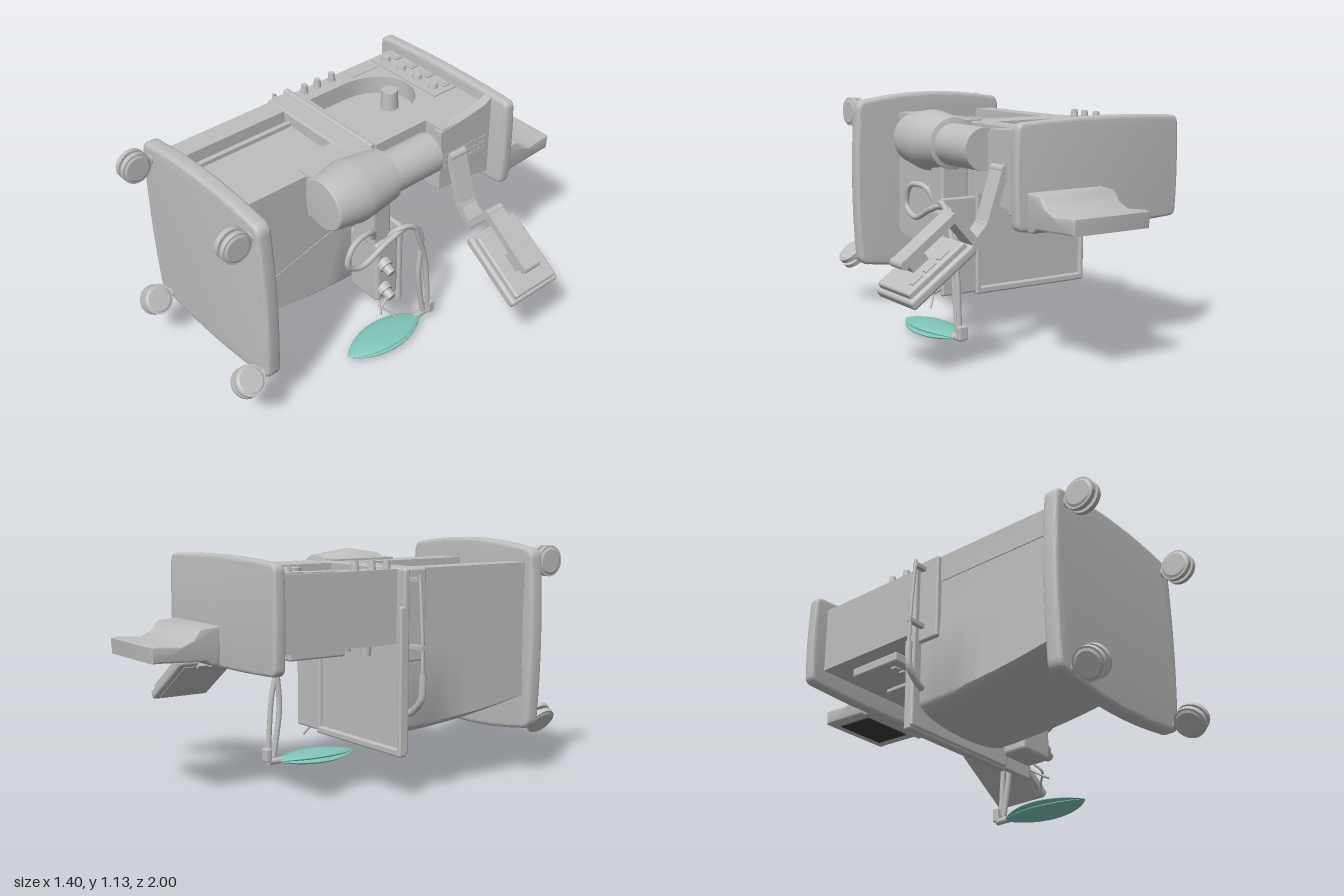
import * as THREE from 'three';
import { toCreasedNormals } from 'three/addons/utils/BufferGeometryUtils.js';
import { RoundedBoxGeometry } from 'three/addons/geometries/RoundedBoxGeometry.js';

export function createModel() {
  const model = new THREE.Group();
  const mat = (name, color) => Object.assign(new THREE.MeshStandardMaterial({ color }), { name });
  const grey = mat('casing grey', 0xbebebe);
  const teal = mat('bag teal', 0x7fc4b8);
  const dark = mat('screen dark', 0x3a3a3a);

  const add = (name, geo, m = grey, parent = model) => {
    const mesh = new THREE.Mesh(geo, m);
    mesh.name = name;
    parent.add(mesh);
    return mesh;
  };
  // box from its limits, with optional rounding
  const box = (name, x0, x1, y0, y1, z0, z1, r = 0, m = grey, parent = model) => {
    const s = [x1 - x0, y1 - y0, z1 - z0];
    const geo = r ? new RoundedBoxGeometry(...s, 3, r) : new THREE.BoxGeometry(...s);
    geo.translate((x0 + x1) / 2, (y0 + y1) / 2, (z0 + z1) / 2);
    return add(name, geo, m, parent);
  };
  // cylinder along a chosen axis
  const cyl = (name, axis, r0, r1, len, x, y, z, parent = model, m = grey) => {
    const geo = new THREE.CylinderGeometry(r1, r0, len, 28);
    if (axis === 'x') geo.rotateZ(-Math.PI / 2);
    if (axis === 'z') geo.rotateX(Math.PI / 2);
    geo.translate(x, y, z);
    return add(name, geo, m, parent);
  };
  const polygon = (pts) => new THREE.Shape(pts.map((p) => new THREE.Vector2(...p)));
  const extrude = (shape, depth, bevel = 0, steps = 1) => new THREE.ExtrudeGeometry(shape, {
    depth: depth - 2 * bevel, steps, curveSegments: 16, bevelEnabled: bevel > 0,
    bevelThickness: bevel, bevelSize: bevel, bevelOffset: -bevel, bevelSegments: 3,
  }).translate(0, 0, bevel);
  // side profile of [z, y] points, extruded from x0 to x1
  const sideProfile = (name, pts, x0, x1, bevel = 0, m = grey) =>
    add(name, toCreasedNormals(extrude(polygon(pts), x1 - x0, bevel).rotateY(-Math.PI / 2).translate(x1, 0, 0), 0.6), m);
  const tube = (name, pts, r, m = grey) => add(name, new THREE.TubeGeometry(
    new THREE.CatmullRomCurve3(pts.map((p) => new THREE.Vector3(...p))), 64, r, 12), m);

  // plate in the x-y plane with rounded corners and gently bowed sides
  const bowedPlate = (name, x0, x1, y0, y1, z0, z1, bow, r, bevel) => {
    const s = new THREE.Shape();
    const cx = (x0 + x1) / 2, cy = (y0 + y1) / 2;
    s.moveTo(x0 + r, y0);
    s.quadraticCurveTo(cx, y0 - 2 * bow, x1 - r, y0);
    s.quadraticCurveTo(x1, y0, x1, y0 + r);
    s.quadraticCurveTo(x1 + bow, cy, x1, y1 - r);
    s.quadraticCurveTo(x1, y1, x1 - r, y1);
    s.quadraticCurveTo(cx, y1 + 2 * bow, x0 + r, y1);
    s.quadraticCurveTo(x0, y1, x0, y1 - r);
    s.quadraticCurveTo(x0 - bow, cy, x0, y0 + r);
    s.quadraticCurveTo(x0, y0, x0 + r, y0);
    return add(name, toCreasedNormals(extrude(s, z1 - z0, bevel).translate(0, 0, z0), 0.7), grey);
  };

  // base and twin-wheel casters
  bowedPlate('base', -0.63, 0.235, 0.23, 1.1, 0.765, 0.84, 0.03, 0.06, 0.018);
  for (const [x, y, turn] of [[-0.565, 1.03, 0], [0.18, 1.03, 0], [-0.54, 0.26, 0.62], [0.2, 0.265, 0.85]]) {
    const caster = new THREE.Group();
    caster.name = 'caster';
    caster.position.set(x, y, 0.925);
    caster.rotation.z = turn;
    model.add(caster);
    for (const side of [-1, 1]) {
      cyl('casterWheel', 'x', 0.074, 0.074, 0.022, side * 0.019, 0, 0, caster);
      cyl('casterHub', 'x', side > 0 ? 0.066 : 0.055, side > 0 ? 0.055 : 0.066, 0.006, side * 0.033, 0, 0, caster);
    }
    cyl('casterAxle', 'x', 0.05, 0.05, 0.02, 0, 0, 0, caster);
    cyl('casterStem', 'z', 0.022, 0.022, 0.1, 0, 0, -0.05, caster);
  }

  // lower cabinet: core, two rear columns and the bowed drawer front
  const seam = (z) => 0.73 - 0.27 * z;
  const front = (z) => 0.235 + 0.03 * z + 0.19 * z * z;
  sideProfile('lowerCabinet', [[0.03, seam(0.03)], [0.77, seam(0.77)], [0.77, 0.97], [0.03, 0.97]], -0.585, 0);
  box('rearColumnRight', -0.59, -0.48, 0.9, 1.03, 0.03, 0.77);
  box('rearColumnLeft', -0.13, 0, 0.9, 1.03, 0.03, 0.77);
  box('rearRib', -0.45, -0.43, 0.95, 0.99, 0.03, 0.77);
  const bowed = new THREE.Shape();
  bowed.moveTo(-0.59, 0);
  bowed.lineTo(-0.59, -0.8);
  bowed.bezierCurveTo(-0.57, -1.01, -0.02, -1.01, 0.003, -0.8);
  bowed.lineTo(0.003, 0);
  const drawers = extrude(bowed, 0.74, 0, 8).translate(0, 0, 0.03);
  const dp = drawers.attributes.position;
  for (let i = 0; i < dp.count; i++) {
    const z = dp.getZ(i);
    dp.setY(i, seam(z) + dp.getY(i) * (seam(z) - front(z)));
  }
  add('drawerFront', toCreasedNormals(drawers, 0.6));
  box('cabinetBand', -0.61, 0.005, 0.62, 1.032, 0.035, 0.15, 0.01);

  // work surface with a raised rim
  box('workSurface', -0.635, 0.01, 0.21, 1.035, 0.008, 0.04, 0.012);
  box('rimRight', -0.635, -0.61, 0.21, 0.87, -0.012, 0.03, 0.01);
  box('rimLeft', -0.012, 0.015, 0.21, 0.87, -0.012, 0.03, 0.01);
  box('rimFront', -0.635, 0.015, 0.2, 0.235, -0.012, 0.03, 0.01);

  // upper cabinet with an arched recess in its back
  box('upperCabinet', -0.58, 0.02, 0.7, 0.94, -0.62, 0.01);
  const back = polygon([[-0.58, -0.01], [0.02, -0.01], [0.02, 0.3], [0.13, 0.3], [0.13, 0.62], [-0.58, 0.62]]);
  const arch = new THREE.Path();
  arch.moveTo(-0.48, 0.005);
  arch.lineTo(-0.1, 0.005);
  arch.lineTo(-0.1, 0.25);
  arch.bezierCurveTo(-0.13, 0.53, -0.45, 0.53, -0.48, 0.25);
  back.holes.push(arch);
  add('backPanel', toCreasedNormals(extrude(back, 0.1).rotateX(-Math.PI / 2).translate(0, 0.93, 0), 0.6));
  sideProfile('flaredColumn', [[-0.29, 0.7], [-0.29, 1.02], [-0.45, 1.035], [-0.57, 1.055], [-0.63, 1.085],
    [-0.63, 0.655], [-0.5, 0.68]], 0.09, 0.135);
  box('sideColumn', 0, 0.1, 0.7, 0.94, -0.62, -0.3);
  cyl('recessKnob', 'y', 0.045, 0.04, 0.1, -0.29, 0.985, -0.35);
  box('recessPocket', -0.565, -0.495, 1.03, 1.034, -0.46, -0.3);
  for (const z of [-0.2, -0.11, -0.03]) cyl('outletPort', 'y', 0.02, 0.015, 0.045, -0.55, 1.05, z);

  // gauge panel
  box('gaugePanel', -0.56, -0.1, 1.03, 1.037, -0.61, -0.47);
  for (let i = 0; i < 4; i++) {
    const x = -0.51 + i * 0.114;
    box('gaugeFrame', x - 0.038, x + 0.038, 1.035, 1.044, -0.602, -0.558);
    box('gaugeWindow', x - 0.026, x + 0.026, 1.043, 1.047, -0.592, -0.57);
    cyl('gaugeDial', 'y', 0.026, 0.02, 0.025, x, 1.046, -0.523);
  }

  // control face toward the operator
  box('controlPanel', -0.5, -0.1, 0.655, 0.705, -0.5, -0.21, 0.01);
  box('controlShelf', -0.3, 0.06, 0.635, 0.7, -0.47, -0.34, 0.008);
  for (let i = 0; i < 6; i++) box('controlButton', -0.46 + i * 0.055, -0.425 + i * 0.055, 0.645, 0.66, -0.28, -0.25);
  for (const x of [-0.5, -0.35, -0.2, -0.06]) cyl('flowKnob', 'y', 0.022, 0.026, 0.06, x, 0.68, -0.1);
  // side vents
  for (let i = 0; i < 10; i++) for (let j = 0; j < 3; j++)
    box('vent', 0.133, 0.139, 0.802 + j * 0.032, 0.822 + j * 0.032, -0.585 + i * 0.028, -0.569 + i * 0.028);

  // top shelf and the display standing on it
  bowedPlate('topShelf', -0.65, 0.235, 0.62, 1.085, -0.672, -0.615, 0.012, 0.04, 0.014);
  sideProfile('topDisplay', [[-0.67, 0.62], [-0.71, 0.62], [-0.74, 0.64], [-0.96, 0.65], [-0.995, 0.65], [-1, 0.72],
    [-0.97, 0.725], [-0.86, 0.715], [-0.8, 0.74], [-0.765, 0.785], [-0.67, 0.79]].reverse(), -0.21, 0.19, 0.008);
  const screen = box('displayScreen', -0.15, 0.13, -0.003, 0.003, -0.1, 0.1, 0, dark);
  screen.position.set(0, 0.642, -0.85);
  screen.rotation.x = 0.045;

  // gas absorber: wide canister and narrow cylinder
  const canister = new THREE.LatheGeometry([[0, 0.41], [0.125, 0.405], [0.13, 0.4], [0.155, 0.25], [0.15, 0.2],
    [0.13, 0.05], [0.1, 0.04], [0, 0.04]].reverse().map(([r, z]) => new THREE.Vector2(r, z)), 40);
  canister.rotateX(Math.PI / 2).scale(1, 0.96, 1).translate(0.105, 0.932, 0);
  add('absorberCanister', toCreasedNormals(canister, 0.5));
  cyl('absorberCylinder', 'z', 0.1, 0.1, 0.28, 0.115, 0.93, -0.09);
  box('absorberInnerSide', -0.05, 0.08, 0.82, 1.04, 0.05, 0.4);
  box('absorberBracket', 0.02, 0.17, 0.6, 0.86, 0.05, 0.16, 0.015);

  // breathing block with ports
  box('breathingBlock', -0.01, 0.19, 0.27, 0.62, 0.02, 0.155, 0.02);
  box('breathingPlate', -0.01, 0.2, 0.21, 0.68, 0.0, 0.025, 0.01);
  for (const y of [0.34, 0.49]) {
    const port = new THREE.Group();
    port.name = 'breathingPort';
    port.position.set(0.185, y, 0.11);
    port.rotation.z = -0.4;
    model.add(port);
    cyl('portCollar', 'x', 0.04, 0.036, 0.04, 0.005, 0, 0, port);
    cyl('portNozzle', 'x', 0.026, 0.022, 0.05, 0.04, 0, 0, port);
  }
  tube('hook', [[0.14, 0.25, 0.1], [0.17, 0.22, 0.12], [0.21, 0.18, 0.08], [0.235, 0.145, 0.06]], 0.006);
  tube('hookSmall', [[0.16, 0.24, 0.06], [0.18, 0.2, 0.12], [0.2, 0.19, 0.14]], 0.006);

  // breathing hoses and bag
  tube('loopHose', [[0.15, 0.63, 0.14], [0.18, 0.71, 0.18], [0.2, 0.71, 0.3], [0.2, 0.61, 0.34], [0.2, 0.56, 0.26],
    [0.2, 0.62, 0.1], [0.2, 0.645, -0.03], [0.2, 0.57, -0.11], [0.2, 0.3, -0.105], [0.2, 0.06, -0.14]], 0.014);
  tube('straightHose', [[0.15, 0.6, 0.08], [0.2, 0.66, 0.02], [0.215, 0.645, -0.05], [0.215, 0.55, -0.09],
    [0.21, 0.38, -0.14], [0.21, 0.08, -0.165]], 0.013);
  box('bagConnector', 0.178, 0.228, 0.04, 0.108, -0.195, -0.16, 0.008);
  cyl('bagNeck', 'z', 0.016, 0.016, 0.09, 0.195, 0.04, -0.13);
  const bag = new THREE.SphereGeometry(1, 40, 28).rotateX(Math.PI / 2);
  const bp = bag.attributes.position;
  for (let i = 0; i < bp.count; i++) {
    const x = bp.getX(i), y = bp.getY(i), z = bp.getZ(i);
    const r = Math.hypot(x, y);
    const sine = r > 1e-6 ? Math.abs(y) / r : 1;
    const notch = 1 - 0.35 * Math.max(0, 1 - sine / 0.4);
    bp.setXYZ(i, 0.195 + x * r ** 0.6 * notch * 0.105, 0.036 + y * r ** 0.6 * 0.033, 0.11 + z * 0.235);
  }
  bag.computeVertexNormals();
  add('breathingBag', bag, teal);

  // jointed arm
  const joints = [[0.14, 0.86], [0.22, 0.62], [0.29, 0.545], [0.4, 0.67], [0.65, 0.49]];
  joints.forEach(([x, y], i) => {
    cyl('armJoint', 'z', 0.021, 0.021, 0.1, x, y, -0.39);
    if (!i) return;
    const [px, py] = joints[i - 1];
    const len = Math.hypot(x - px, y - py);
    const link = box('armLink', -len / 2, len / 2, -0.018, 0.018, -0.048, 0.048);
    link.position.set((x + px) / 2, (y + py) / 2, -0.39);
    link.rotation.z = Math.atan2(y - py, x - px);
  });
  // side display carried by the arm
  const side = new THREE.Group();
  side.name = 'sideDisplay';
  side.position.set(0.535, 0.455, -0.405);
  side.rotation.z = -0.61;
  model.add(side);
  box('displayBody', -0.19, 0.19, -0.035, 0.012, -0.155, 0.155, 0.015, grey, side);
  box('displayBack', -0.17, 0.17, 0, 0.04, -0.135, 0.135, 0.012, grey, side);
  box('displayFace', -0.16, 0.16, -0.038, -0.033, -0.125, 0.125, 0, grey, side);
  box('displayMount', -0.03, 0.06, 0.03, 0.09, -0.03, 0.06, 0, grey, side);
  box('displayFoot', -0.19, -0.16, -0.05, -0.03, -0.06, 0.06, 0, grey, side);
  for (let i = 0; i < 3; i++) box('displayRib', -0.1 + i * 0.08, -0.04 + i * 0.08, 0.036, 0.045, -0.11, -0.08, 0, grey, side);

  // handle and guard rail on the right side
  tube('handle', [[-0.6, 0.385, 0.065], [-0.64, 0.41, 0.065], [-0.685, 0.46, 0.065], [-0.693, 0.52, 0.065],
    [-0.693, 0.58, 0.065]], 0.016);
  tube('guardRail', [[-0.692, 0.58, 0.065], [-0.69, 0.7, 0.065], [-0.68, 0.85, 0.065], [-0.667, 1.01, 0.065]], 0.008);
  for (const [x, y] of [[-0.7, 0.69], [-0.67, 0.985]]) box('railPost', x, -0.6, y - 0.009, y + 0.009, 0.053, 0.077);

  return model;
}
